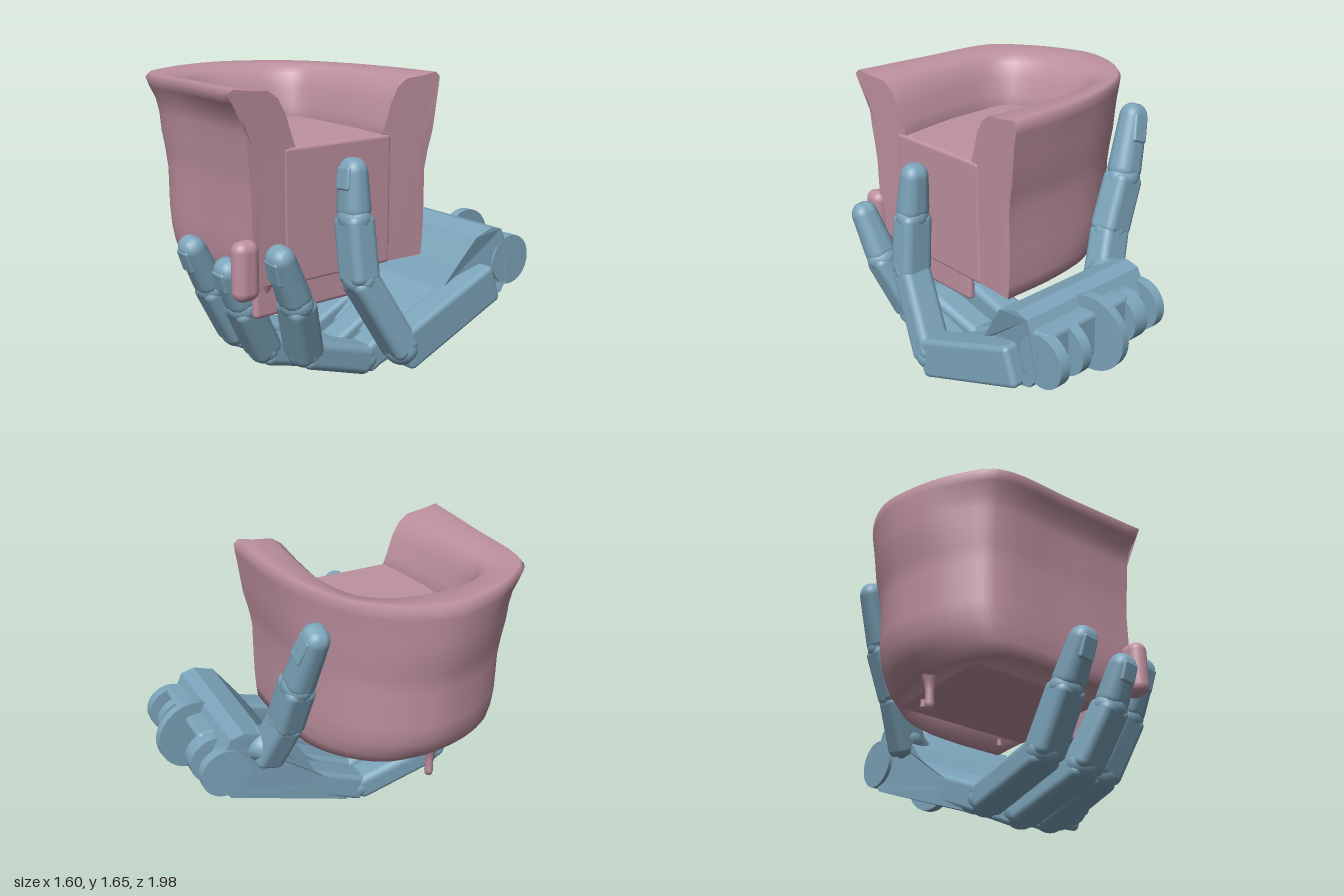
import * as THREE from 'three';
import { RoundedBoxGeometry } from 'three/addons/geometries/RoundedBoxGeometry.js';

const V = (x, y, z) => new THREE.Vector3(x, y, z);
const pink = new THREE.MeshStandardMaterial({ color: 0xbe91a0, side: THREE.DoubleSide });
const blue = new THREE.MeshStandardMaterial({ color: 0x7da5bb });

function add(parent, name, geometry, material, x = 0, y = 0, z = 0) {
  const m = new THREE.Mesh(geometry, material);
  m.name = name;
  m.position.set(x, y, z);
  parent.add(m);
  return m;
}

// Tapered rounded bar from a to b; its width runs along x, its depth faces outward
function bar(parent, name, a, b, [w, d], taper = 1, round = 0.045, overlap = 0.05) {
  const dir = b.clone().sub(a), len = dir.length() + overlap;
  const g = new RoundedBoxGeometry(w, len, d, 4, Math.min(round, w / 2.01, d / 2.01));
  const p = g.attributes.position;
  for (let i = 0; i < p.count; i++) {
    const k = THREE.MathUtils.lerp(1, taper, p.getY(i) / len + 0.5);
    p.setX(i, p.getX(i) * k);
    p.setZ(i, p.getZ(i) * k);
  }
  dir.normalize();
  const out = V(1, 0, 0).cross(dir).normalize();
  const m = add(parent, name, g, blue);
  m.quaternion.setFromRotationMatrix(new THREE.Matrix4().makeBasis(dir.clone().cross(out), dir, out));
  m.position.copy(a).add(b).multiplyScalar(0.5);
  return { mesh: m, len };
}

// Disc or pin lying along x
function disc(parent, name, radius, width, x, y, z) {
  const m = add(parent, name, new THREE.CylinderGeometry(radius, radius, width, 32), blue, x, y, z);
  m.rotation.z = Math.PI / 2;
  return m;
}

// Jointed digit through a list of points, ending in a rounded tip with a nail
function digit(parent, name, pts, width, depth, nailSide = 1) {
  const g = new THREE.Group();
  g.name = name;
  parent.add(g);
  const last = pts.length - 2;
  pts.slice(0, -1).forEach((a, i) => {
    const tip = i === last;
    const { mesh, len } = bar(g, tip ? 'fingertip' : 'phalanx', a, pts[i + 1],
      [width, depth], tip ? 0.76 : 0.97, tip ? 0.075 : 0.045);
    if (i > 0) {
      const joint = add(g, 'joint', new THREE.SphereGeometry(0.5, 20, 14), blue, a.x, a.y, a.z);
      joint.scale.set(width * 1.04, depth, depth * 1.04);
    }
    if (tip) {
      const nail = add(mesh, 'nail', new RoundedBoxGeometry(width * 0.52, len * 0.36, 0.03, 3, 0.014), blue,
        0, len * 0.19, nailSide * depth * 0.36);
      nail.rotation.x = -nailSide * 0.12;
    }
  });
  return g;
}

function createChair() {
  const chair = new THREE.Group();
  chair.name = 'armchair';
  // Plan outlines [x, z], arm to arm: rim, just under the rim, body, underside and inner wall
  const rim = [[0.47, -0.395], [0.1, -0.38], [-0.25, -0.31], [-0.55, -0.17], [-0.72, 0.03], [-0.8, 0.28],
    [-0.75, 0.5], [-0.63, 0.73], [-0.48, 0.89], [0, 0.93], [0.48, 0.96]];
  const mid = [[0.47, -0.375], [0.1, -0.36], [-0.24, -0.3], [-0.53, -0.16], [-0.7, 0.03], [-0.785, 0.28],
    [-0.735, 0.5], [-0.61, 0.69], [-0.46, 0.83], [0, 0.85], [0.47, 0.86]];
  const body = [[0.45, -0.315], [0.1, -0.31], [-0.23, -0.27], [-0.48, -0.15], [-0.64, 0.03], [-0.71, 0.27],
    [-0.67, 0.48], [-0.58, 0.66], [-0.45, 0.79], [0, 0.82], [0.46, 0.83]];
  const under = [[0.45, -0.3], [0.1, -0.295], [-0.2, -0.24], [-0.39, -0.12], [-0.52, 0.05], [-0.56, 0.27],
    [-0.54, 0.46], [-0.49, 0.62], [-0.39, 0.76], [0, 0.79], [0.45, 0.79]];
  const inner = [[0.44, -0.01], [0.1, -0.05], [-0.2, -0.07], [-0.36, -0.04], [-0.42, 0.06], [-0.43, 0.28],
    [-0.42, 0.46], [-0.37, 0.57], [-0.25, 0.62], [0.05, 0.61], [0.44, 0.55]];
  // Wall section: from outline, to outline, blend, height
  const section = [[inner, inner, 0, 0.63], [inner, inner, 0, 1.33], [inner, rim, 0.07, 1.4],
    [inner, rim, 0.15, 1.5], [inner, rim, 0.27, 1.585], [inner, rim, 0.42, 1.625], [inner, rim, 0.7, 1.635],
    [inner, rim, 0.93, 1.65], [rim, rim, 0, 1.625], [rim, mid, 0.3, 1.575], [rim, mid, 0.8, 1.51],
    [mid, body, 0.1, 1.43], [mid, body, 0.3, 1.33], [mid, body, 0.7, 1.23], [body, body, 0, 1.12],
    [body, body, 0, 0.9], [body, under, 0.15, 0.79], [body, under, 0.45, 0.7], [under, under, 0, 0.625]];
  const steps = 60, n = section.length;
  const lines = section.map(([from, to, t, y]) => new THREE.CatmullRomCurve3(
    from.map(([x, z], i) => V(x + (to[i][0] - x) * t, y, z + (to[i][1] - z) * t))));
  const pos = [], idx = [];
  for (let s = 0; s <= steps; s++) lines.forEach(c => pos.push(...c.getPoint(s / steps).toArray()));
  for (let s = 0; s < steps; s++) for (let j = 0; j < n; j++) {
    const a = s * n + j, b = s * n + (j + 1) % n;
    idx.push(a, b, a + n, b, b + n, a + n);
  }
  // Flat arm fronts
  for (const s of [0, 1]) {
    const ring = lines.map(c => c.getPoint(s));
    const centre = ring.reduce((m, p) => m.add(p), V(0, 0, 0)).divideScalar(n);
    const base = pos.length / 3;
    [...ring, centre].forEach(p => pos.push(p.x, p.y, p.z));
    for (let j = 0; j < n; j++) {
      const a = base + j, b = base + (j + 1) % n;
      idx.push(...(s ? [a, b, base + n] : [b, a, base + n]));
    }
  }
  const wall = new THREE.BufferGeometry();
  wall.setAttribute('position', new THREE.Float32BufferAttribute(pos, 3));
  wall.setIndex(idx);
  wall.computeVertexNormals();
  add(chair, 'backAndArms', wall, pink);
  add(chair, 'seat', new RoundedBoxGeometry(0.9, 0.715, 0.7, 3, 0.02), pink, 0, 0.98, 0.28);
  // Front skirt, soft corner lump and hanging feet
  add(chair, 'frontSkirt', new RoundedBoxGeometry(0.05, 0.2, 0.78, 3, 0.024), pink, 0.42, 0.58, 0.42);
  add(chair, 'cornerLump', new RoundedBoxGeometry(0.11, 0.31, 0.14, 5, 0.054), pink, 0.45, 0.755, 0.87);
  for (const [x, z, y, r] of [[-0.52, 0.34, 0.45, 0.025], [0.42, 0.74, 0.49, 0.02], [-0.39, 0.1, 0.57, 0.02], [0.3, -0.1, 0.58, 0.015]]) {
    const h = 0.66 - y;
    const outline = [[0, 0], [r * 0.8, 0.005], [r, h * 0.15], [r * 0.9, h * 0.5], [r * 1.3, h * 0.72], [r * 2.4, h]];
    add(chair, 'foot', new THREE.LatheGeometry(outline.map(q => new THREE.Vector2(...q)), 16), pink, x, y, z);
  }
  return chair;
}

function createHand() {
  const hand = new THREE.Group();
  hand.name = 'mechanicalHand';
  // Palm: side profile [z, y] extruded across, narrowing toward the knuckles
  const profile = [[0.04, 0.08], [-0.72, 0.38], [-0.77, 0.46], [-0.77, 0.62], [-0.7, 0.76], [-0.62, 0.78],
    [-0.5, 0.74], [-0.38, 0.58], [-0.3, 0.46], [0.02, 0.2]];
  const palm = new THREE.ExtrudeGeometry(new THREE.Shape(profile.map(p => new THREE.Vector2(...p))),
    { depth: 1, steps: 1, bevelEnabled: false });
  palm.rotateY(-Math.PI / 2); // profile along z, depth along -x
  const p = palm.attributes.position;
  for (let i = 0; i < p.count; i++) {
    const t = THREE.MathUtils.clamp((p.getZ(i) + 0.5) / 0.54, 0, 1);
    const low = THREE.MathUtils.lerp(-0.14, -0.09, t), high = THREE.MathUtils.lerp(0.69, 0.53, t);
    p.setX(i, THREE.MathUtils.lerp(high, low, -p.getX(i)));
  }
  palm.computeVertexNormals();
  add(hand, 'palm', palm, blue);

  // Wrist hinge lugs, block and wheel
  for (const [x, w, z] of [[-0.125, 0.06, -0.74], [0.045, 0.1, -0.75], [0.49, 0.06, -0.78], [0.655, 0.065, -0.79]])
    disc(hand, 'wristLug', 0.145, w, x, 0.56, z);
  add(hand, 'wristBlock', new RoundedBoxGeometry(0.62, 0.26, 0.18, 3, 0.03), blue, 0.37, 0.58, -0.73);
  disc(hand, 'wristWheel', 0.21, 0.05, 0.305, 0.575, -0.785).rotation.y = 0.1;

  // Fingers from the outer side inward, each with its palm bone and knuckle
  const fingers = [
    ['outerFinger', [V(0.7, 0.23, 0.06), V(0.64, 0.65, 0.3), V(0.605, 0.97, 0.31), V(0.58, 1.25, 0.3)], V(0.66, 0.46, -0.6), [0.17, 0.23]],
    ['secondFinger', [V(0.46, 0.12, 0.14), V(0.48, 0.26, 0.54), V(0.585, 0.58, 0.66), V(0.62, 0.88, 0.79)], V(0.44, 0.46, -0.6), [0.17, 0.16]],
    ['thirdFinger', [V(0.22, 0.09, 0.17), V(0.25, 0.23, 0.64), V(0.31, 0.52, 0.8), V(0.33, 0.77, 0.91)], V(0.2, 0.46, -0.6), [0.17, 0.16]],
    ['innerFinger', [V(-0.01, 0.12, 0.15), V(-0.02, 0.24, 0.64), V(0, 0.54, 0.8), V(0.02, 0.82, 0.94)], V(-0.03, 0.46, -0.6), [0.17, 0.16]],
  ];
  for (const [name, pts, root, size] of fingers) {
    const finger = digit(hand, name, pts, 0.19, 0.165);
    bar(finger, 'palmBone', root, pts[0], size, 1, 0.03);
    const knuckle = add(finger, 'knuckle', new THREE.SphereGeometry(0.09, 24, 16), blue, pts[0].x, pts[0].y, pts[0].z);
    knuckle.scale.x = 1.08;
  }

  // Thumb rising behind the chair, nail facing away from it
  const thumb = digit(hand, 'thumb', [V(-0.1, 0.58, -0.48), V(-0.23, 0.86, -0.41), V(-0.35, 1.14, -0.39), V(-0.49, 1.5, -0.335)], 0.2, 0.17, -1);
  bar(thumb, 'thumbBase', V(0.1, 0.56, -0.58), V(-0.14, 0.66, -0.47), [0.22, 0.25], 0.85, 0.09, 0.12);
  return hand;
}

export function createModel() {
  const model = new THREE.Group();
  model.name = 'handHoldingArmchair';
  model.add(createChair(), createHand());
  return model;
}
